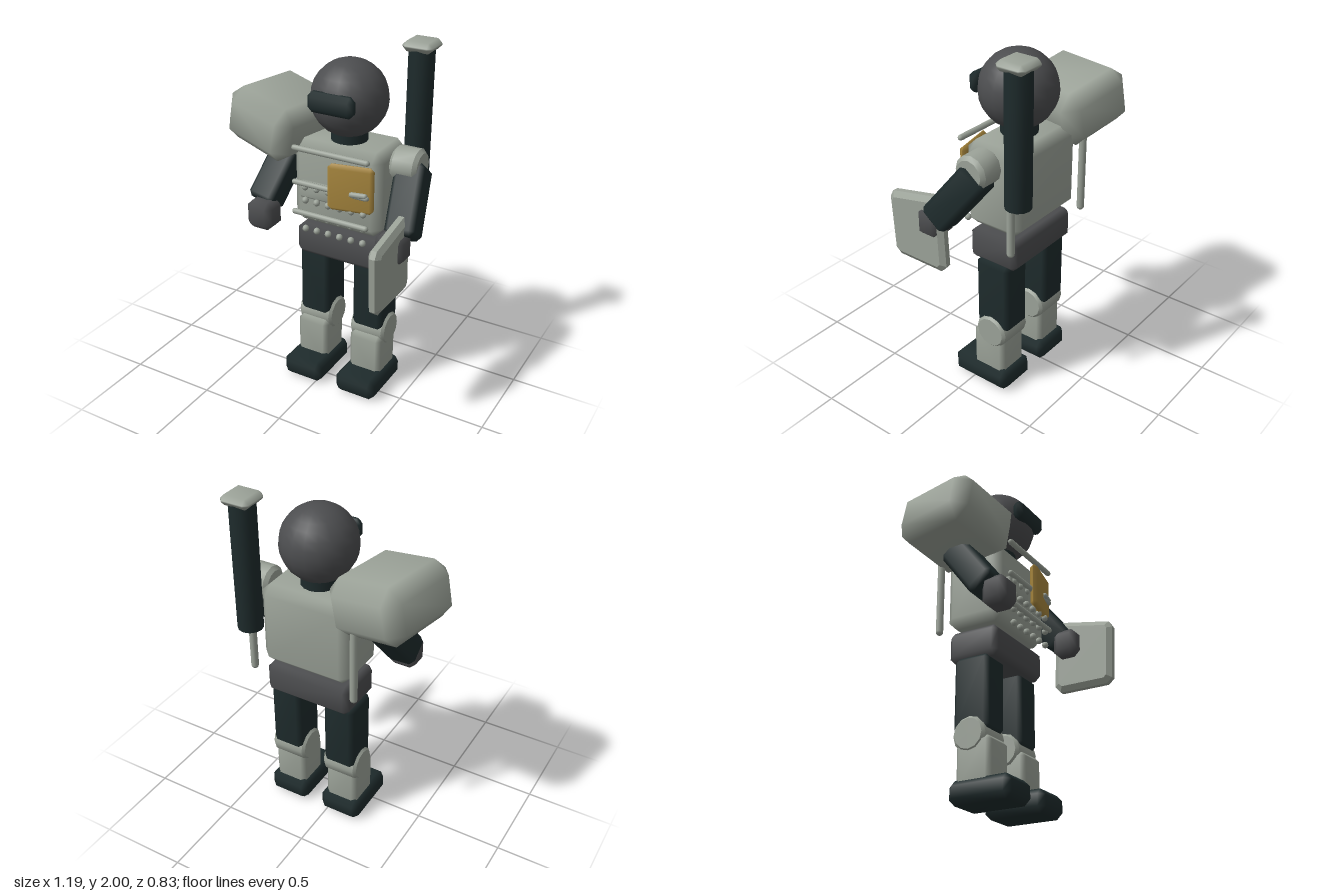
import * as THREE from 'three';
import { mergeVertices, toCreasedNormals } from 'three/addons/utils/BufferGeometryUtils.js';
import { ConvexGeometry } from 'three/addons/geometries/ConvexGeometry.js';

const mat = (name, color) => {
  const m = new THREE.MeshStandardMaterial({ color });
  m.name = name;
  return m;
};

// Box with every edge cut by c, softly shaded across the cuts
function chamferBox(w, h, d, c) {
  const [a, b, e] = [w / 2, h / 2, d / 2];
  const points = [];
  for (const x of [-1, 1]) for (const y of [-1, 1]) for (const z of [-1, 1]) {
    points.push(
      new THREE.Vector3(x * a, y * (b - c), z * (e - c)),
      new THREE.Vector3(x * (a - c), y * b, z * (e - c)),
      new THREE.Vector3(x * (a - c), y * (b - c), z * e));
  }
  let g = new ConvexGeometry(points);
  g.deleteAttribute('normal');
  g = mergeVertices(g, 1e-4);
  g.computeVertexNormals();
  return g;
}

// Disc along x with cut rims
function bevelDisc(r, length, c, sides = 12) {
  const h = length / 2;
  const profile = [[0, -h], [r - c, -h], [r, -h + c], [r, h - c], [r - c, h], [0, h]]
    .map(([x, y]) => new THREE.Vector2(x, y));
  return toCreasedNormals(new THREE.LatheGeometry(profile, sides).rotateZ(Math.PI / 2), 0.6);
}

export function createModel() {
  const light = mat('pale armour grey', 0x9ca399);
  const grey = mat('charcoal grey', 0x4c4d4f);
  const dark = mat('dark teal', 0x1e2b2c);
  const gold = mat('ochre', 0xa8873e);

  const model = new THREE.Group();
  model.name = 'armouredFigure';
  const add = (name, geometry, material, x, y, z, rx = 0, ry = 0, rz = 0) => {
    const m = new THREE.Mesh(geometry, material);
    m.name = name;
    m.position.set(x, y, z);
    m.rotation.set(rx, ry, rz);
    model.add(m);
    return m;
  };
  const MID = 0.088; // the body's own centre line

  // Head, visor and neck
  add('head', new THREE.SphereGeometry(0.208, 18, 14), grey, MID, 1.708, -0.105);
  add('visor', chamferBox(0.265, 0.11, 0.07, 0.025), dark, MID, 1.725, 0.088);
  add('neck', new THREE.CylinderGeometry(0.1, 0.1, 0.14, 16), dark, MID, 1.52, -0.11);

  // Torso and hips
  add('torso', chamferBox(0.53, 0.48, 0.345, 0.05), light, MID, 1.237, -0.123);
  add('hips', chamferBox(0.51, 0.18, 0.305, 0.03), grey, MID, 0.88, -0.122);

  // Chest rods, pouch and rows of studs
  const rod = new THREE.CapsuleGeometry(0.016, 0.43, 3, 8).rotateZ(Math.PI / 2);
  for (const y of [1.455, 1.26, 1.085]) add('chestRod', rod, light, MID, y, 0.1);
  add('chestPouch', chamferBox(0.21, 0.09, 0.05, 0.012), light, -0.01, 1.213, 0.062);
  const stud = new THREE.SphereGeometry(0.019, 8, 6);
  [[1.235, 3], [1.157, 6], [1.07, 6], [0.987, 6]].forEach(([y, count]) => {
    for (let i = 0; i < count; i++) add('chestStud', stud, light, -0.07 + i * 0.07, y, 0.085);
  });

  // Chest hatch, slightly ajar, with its handle
  add('chestHatch', chamferBox(0.25, 0.26, 0.045, 0.02), gold, 0.21, 1.29, 0.093, 0, 0.2, 0);
  add('hatchHandle', new THREE.CapsuleGeometry(0.015, 0.07, 3, 8).rotateZ(Math.PI / 2),
    light, 0.262, 1.272, 0.11, 0, 0.2, 0);

  // Limbs, mirrored about the body's centre line
  const shoulder = bevelDisc(0.096, 0.155, 0.02);
  const arm = chamferBox(0.165, 0.39, 0.165, 0.025);
  const hand = chamferBox(0.16, 0.165, 0.15, 0.035);
  const thigh = chamferBox(0.185, 0.42, 0.215, 0.025);
  const knee = bevelDisc(0.098, 0.212, 0.015);
  const shin = chamferBox(0.195, 0.28, 0.21, 0.025);
  const foot = chamferBox(0.246, 0.13, 0.366, 0.033);
  const backRod = new THREE.CapsuleGeometry(0.021, 0.44, 3, 10);
  for (const s of [-1, 1]) {
    const side = s > 0 ? 'left' : 'right';
    const limb = (part, g, m, dx, ...rest) => add(side + part, g, m, MID + s * dx, ...rest);
    limb('Shoulder', shoulder, light, 0.345, 1.397, -0.123);
    limb('UpperArm', arm, dark, 0.393, 1.235, -0.03, -0.66, 0, s * 0.15);
    limb('Hand', hand, grey, 0.393, 1.047, 0.135);
    limb('Thigh', thigh, dark, 0.17, 0.595, -0.123);
    limb('Knee', knee, light, 0.17, 0.365, -0.122);
    limb('Shin', shin, light, 0.172, 0.21, -0.1);
    limb('Foot', foot, dark, 0.172, 0.065, -0.052);
    limb('BackRod', backRod, light, 0.31, 1.18, -0.295);
  }

  // Large plate over the right shoulder
  add('shoulderPlate', chamferBox(0.46, 0.315, 0.51, 0.075), light,
    -0.333, 1.525, -0.125, 0, -0.19, -0.2);

  // Upright tube behind the left shoulder
  add('backTube', toCreasedNormals(new THREE.CylinderGeometry(0.07, 0.07, 0.72, 12), 0.7),
    dark, 0.382, 1.595, -0.33);
  add('tubeCap', chamferBox(0.168, 0.056, 0.168, 0.024), light, 0.382, 1.972, -0.33);

  // Shield blade held in the left hand, outline given as (z, y)
  const outline = [[0.36, 0.77], [0.395, 0.8], [0.412, 1.11], [0.39, 1.148],
    [0.09, 1.21], [0.05, 1.18], [0.035, 0.81], [0.07, 0.77]];
  const shield = new THREE.ExtrudeGeometry(
    new THREE.Shape(outline.map(([z, y]) => new THREE.Vector2(z, y))),
    { depth: 0.03, bevelEnabled: true, bevelThickness: 0.02, bevelSize: 0.03,
      bevelOffset: -0.03, bevelSegments: 1 });
  shield.translate(0, 0, -0.015).rotateY(-Math.PI / 2);
  add('shield', shield, light, 0.505, 0, 0);

  return model;
}
